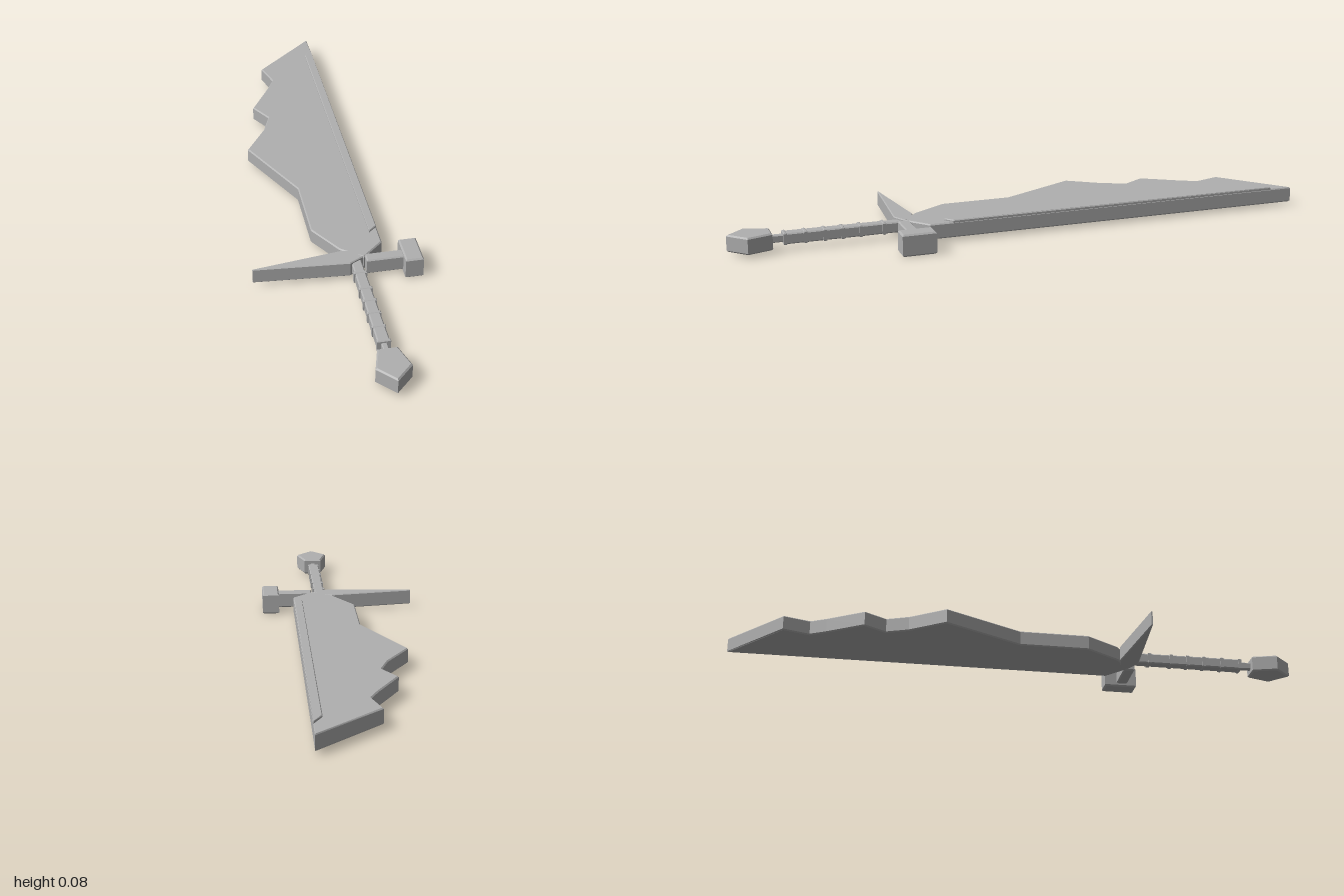
import * as THREE from 'three';

export function createModel() {
  const model = new THREE.Group();
  const steel = new THREE.MeshStandardMaterial({ color: 0xb0b0b0 });
  steel.name = 'grey steel';

  // Bevelled plate: outline given as [x, z] pairs, standing between y0 and y1
  function plate(name, outline, y0, y1, bevel) {
    const shape = new THREE.Shape(outline.map(([x, z]) => new THREE.Vector2(x, -z)));
    const geo = new THREE.ExtrudeGeometry(shape, {
      depth: y1 - y0 - 2 * bevel, bevelEnabled: true, bevelSegments: 1,
      bevelSize: bevel, bevelThickness: bevel, bevelOffset: -bevel,
    });
    geo.rotateX(-Math.PI / 2);
    geo.translate(0, y0 + bevel, 0);
    const mesh = new THREE.Mesh(geo, steel);
    mesh.name = name;
    model.add(mesh);
  }
  const rect = (x0, x1, z0, z1) => [[x0, z0], [x0, z1], [x1, z1], [x1, z0]];

  // Jagged blade with a straight back
  plate('blade', [
    [0.165, -1], [-0.05, -0.81], [-0.022, -0.72], [-0.05, -0.665], [-0.125, -0.54],
    [-0.08, -0.465], [-0.108, -0.39], [-0.187, -0.27], [-0.053, 0], [-0.053, 0.24],
    [0.02, 0.36], [0.09, 0.413], [0.165, 0.345],
  ], 0.012, 0.065, 0.004);

  // Raised strip along the back of the blade
  plate('bladeRidge', [[0.135, -0.87], [0.164, -0.92], [0.164, 0.265], [0.135, 0.29]], 0.056, 0.072, 0.003);

  // Cross guard: long spike on one side, hammer block on the other
  plate('guardSpike', [
    [-0.277, 0.408], [-0.277, 0.413], [0.04, 0.437], [0.09, 0.41], [0.06, 0.375], [0.02, 0.367],
  ], 0.011, 0.065, 0.003);
  plate('guardArm', rect(0.095, 0.222, 0.398, 0.437), 0.011, 0.066, 0.004);
  plate('guardBlock', rect(0.217, 0.277, 0.355, 0.47), 0, 0.075, 0.005);

  // Grip, its binding rings and the narrow neck
  plate('grip', [[0.046, 0.41], [0.043, 0.815], [0.083, 0.815], [0.08, 0.41]], 0.021, 0.058, 0.004);
  for (const z of [0.48, 0.56, 0.62, 0.68, 0.745, 0.812]) {
    plate('gripRing', rect(0.041, 0.085, z - 0.006, z + 0.006), 0.019, 0.06, 0.003);
  }
  plate('neck', rect(0.054, 0.073, 0.81, 0.87), 0.027, 0.052, 0.003);

  // Five-sided pommel
  plate('pommel', [[0.032, 0.855], [0.008, 0.94], [0.063, 1], [0.122, 0.94], [0.096, 0.855]], 0.01, 0.068, 0.005);

  return model;
}
